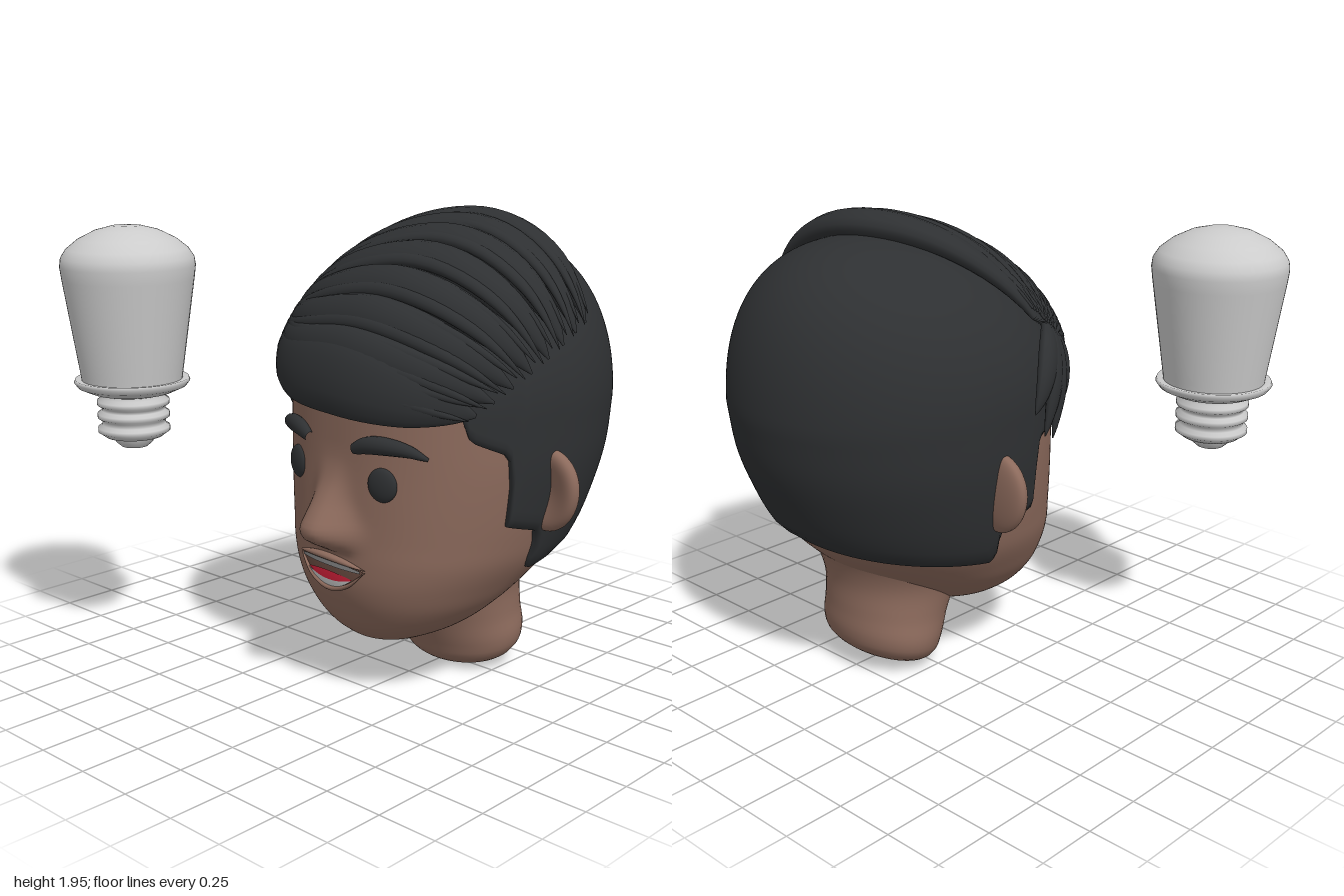
import * as THREE from 'three';

const HAIR = 0x2e3032, SKIN = 0x8c6a5c, GREY = 0xcccccc;
const V = (x, y, z) => new THREE.Vector3(x, y, z);

function part(name, geometry, color, double = false) {
  const material = new THREE.MeshStandardMaterial({ color });
  if (double) material.side = THREE.DoubleSide;
  const mesh = new THREE.Mesh(geometry, material);
  mesh.name = name;
  return mesh;
}

// surface through rows of points; at(i, j) gives a point, rows upward, columns to the right
function grid(rows, cols, at, closed = true) {
  const pos = [], idx = [], n = closed ? cols : cols + 1;
  for (let i = 0; i <= rows; i++) for (let j = 0; j < n; j++) pos.push(...at(i, j).toArray());
  for (let i = 0; i < rows; i++) for (let j = 0; j < cols; j++) {
    const a = i * n + j, b = i * n + (j + 1) % n;
    idx.push(a, b, b + n, a, b + n, a + n);
  }
  const g = new THREE.BufferGeometry();
  g.setAttribute('position', new THREE.Float32BufferAttribute(pos, 3));
  g.setIndex(idx);
  g.computeVertexNormals();
  return g;
}

// smooth interpolation of rows [y, ...values]
function smooth(rows) {
  const n = rows[0].length - 1;
  const f = new THREE.CubicInterpolant(rows.map(r => r[0]), rows.flatMap(r => r.slice(1)), n, new Float32Array(n));
  return y => f.evaluate(y);
}
// rows [y, halfWidth, front, back] -> [halfWidth, halfDepth, centre]
function profile(rows) {
  const f = smooth(rows);
  return y => {
    const [w, a, b] = f(y);
    return [Math.max(w, 0), Math.max((a - b) / 2, 0), (a + b) / 2];
  };
}

const jaw = profile([
  [0.212, 0, 0.35, 0.35], [0.218, 0.09, 0.44, 0.24], [0.23, 0.15, 0.505, 0.17], [0.255, 0.215, 0.55, 0.1],
  [0.3, 0.295, 0.595, 0], [0.4, 0.405, 0.65, -0.15], [0.5, 0.475, 0.68, -0.29], [0.6, 0.53, 0.685, -0.4],
  [0.7, 0.56, 0.68, -0.48], [0.85, 0.59, 0.675, -0.555], [1, 0.61, 0.67, -0.61], [1.2, 0.615, 0.67, -0.645]]);
const neckRows = profile([
  [0, 0, -0.06, -0.06], [0.008, 0.12, 0.03, -0.15], [0.03, 0.22, 0.09, -0.215], [0.07, 0.275, 0.135, -0.265],
  [0.13, 0.298, 0.16, -0.285], [0.25, 0.29, 0.21, -0.285], [0.4, 0.3, 0.28, -0.29], [0.55, 0.36, 0.3, -0.34],
  [0.7, 0.45, 0.3, -0.45]]);
// nose height and spread over the face
const noseRows = smooth([[0.6, 0, 0.1], [0.635, 0.006, 0.11], [0.66, 0.055, 0.115], [0.69, 0.108, 0.12], [0.735, 0.132, 0.118],
  [0.78, 0.11, 0.105], [0.85, 0.066, 0.085], [0.92, 0.028, 0.08], [1, 0.005, 0.08], [1.06, 0, 0.08]]);

// head cross-section at a height, grown outward by off
function section(y, off) {
  const [w, d, c] = jaw(Math.min(y, 1.2));
  const u = Math.max(0, (y - 1.2) / (0.63 + off));
  const s = Math.sqrt(Math.max(0, 1 - u ** 2.05));
  return [(w + off) * s, (d + off) * s, c - 0.15 * u * u];
}
const bulge = z => (z > 0 ? 2.3 : 2);
function headPoint(phi, y, off) {
  const [w, d, c] = section(y, off), s = Math.sin(phi), k = Math.cos(phi), e = 2 / bulge(k);
  return V(w * Math.sign(s) * Math.abs(s) ** e, y, c + d * Math.sign(k) * Math.abs(k) ** e);
}
function faceZ(x, y) {
  const [w, d, c] = section(y, 0);
  return c + d * Math.max(0, 1 - Math.abs(x / w) ** 2.3) ** (1 / 2.3);
}
// moves a point onto the hair cap along its ray from the middle of the head
function onCap(p, off) {
  const dir = V(p.x, p.y - 1.2, p.z).normalize();
  let lo = 0, hi = 1.2;
  for (let i = 0; i < 24; i++) {
    const r = (lo + hi) / 2, y = 1.2 + dir.y * r, [w, d, c] = section(y, 0.03), z = dir.z * r - c;
    const n = bulge(z);
    if (w > 0 && Math.abs(dir.x * r / w) ** n + Math.abs(z / d) ** n < 1) lo = r; else hi = r;
  }
  return dir.multiplyScalar(lo + off).add(V(0, 1.2, 0));
}

// skin of the face with the nose drawn out of it; columns crowd toward the front
const faceGeometry = () => grid(120, 128, (i, j) => {
  const a = (j / 128 - 0.5) * Math.PI * 2, y = 1.021 - 0.809 * Math.cos(Math.PI * i / 120);
  const p = headPoint(a - 0.6 * Math.sin(a), y, 0);
  if (y > 0.6 && y < 1.06 && p.z > 0) {
    const [height, spread] = noseRows(y);
    p.z += height * Math.exp(-((Math.abs(p.x) / spread) ** 2.6));
  }
  return p;
});

const neckGeometry = () => grid(40, 48, (i, j) => {
  const y = 0.35 * (1 - Math.cos(Math.PI * i / 40)), a = j / 48 * Math.PI * 2;
  const [w, d, c] = neckRows(y), z = c + d * Math.cos(a);
  return V(w * Math.sin(a), y + 0.2 * (1 - y / 0.7) * (0.04 - z), z);
});

// tapered oval sweep: place() positions a sample, up() gives its thickness direction
function sweep(points, place, up, width, thick, n = 28, m = 14) {
  const curve = new THREE.CatmullRomCurve3(points);
  const path = Array.from({ length: n + 1 }, (_, i) => place(curve.getPoint(i / n), i / n));
  return grid(n, m, (i, j) => {
    const t = path[Math.min(i + 1, n)].clone().sub(path[Math.max(i - 1, 0)]).normalize();
    const side = t.clone().cross(up(path[i])).normalize(), lift = side.clone().cross(t);
    const a = j / m * Math.PI * 2, u = i / n;
    return path[i].clone().addScaledVector(side, Math.sin(a) * width(u)).addScaledVector(lift, Math.cos(a) * thick(u));
  });
}
const taper = u => Math.max(0.02, Math.sin(Math.PI * Math.min(1, 0.04 + u * 0.96))) ** 0.75;
const lock = (pts, width, thick, off) => sweep(pts, (p, u) => onCap(p, off * (0.7 + Math.sin(Math.PI * u) * 0.3)),
  p => V(p.x, p.y - 1.2, p.z).normalize(), u => width * taper(u), u => thick * taper(u));
const onFace = off => p => V(p.x, p.y, faceZ(p.x, p.y) + off);

// strip lying on the face between two smile curves
const facePatch = (half, low, high, off) => grid(6, 24, (i, j) => {
  const u = j / 12 - 1, x = u * half, y = THREE.MathUtils.lerp(low(u), high(u), i / 6);
  return V(x, y, faceZ(x, y) + off);
}, false);

function earGeometry() {
  const g = new THREE.SphereGeometry(1, 40, 28), p = g.attributes.position;
  for (let i = 0; i < p.count; i++) {
    const x = p.getX(i), y = p.getY(i), z = p.getZ(i);
    // hollow the front, keep a thick rim and narrow the lobe
    const depth = z > 0 ? z * (0.2 + 1.3 * (x * x + y * y)) : -(Math.abs(z) ** 0.7);
    p.setXYZ(i, x * (0.155 + 0.015 * y), y * 0.168, depth * 0.046);
  }
  g.computeVertexNormals();
  return g;
}

function hairCap() {
  const edge = [[0, 1.32], [0.75, 1.3], [0.87, 1.25], [0.95, 1.13], [1.19, 1.07], [1.24, 1.02], [1.285, 0.78],
    [1.53, 0.74], [1.62, 0.6], [1.69, 0.565], [3.2, 0.68]];
  const rim = phi => {
    const k = edge.findIndex(e => e[0] > phi), [a, b] = [edge[k - 1], edge[k]];
    return THREE.MathUtils.mapLinear(phi, a[0], b[0], a[1], b[1]);
  };
  return grid(50, 160, (i, j) => {
    const phi = (j / 160 - 0.5) * Math.PI * 2, y0 = rim(Math.abs(phi));
    if (i === 0) return headPoint(phi, y0, -0.02);
    const y = y0 + (1.86 - y0) * Math.sin((i - 1) / 49 * Math.PI / 2);
    return headPoint(phi, y, i === 1 ? 0.02 : 0.03);
  });
}

function buildHead() {
  const head = new THREE.Group();
  head.name = 'head';
  head.position.set(0.255, 0, -0.27);
  head.rotation.y = -0.1;
  head.add(part('face', faceGeometry(), SKIN), part('neck', neckGeometry(), SKIN));

  // ears, eyes and brows, mirrored
  for (const s of [1, -1]) {
    const side = s > 0 ? 'left' : 'right';
    const ear = part(side + 'Ear', earGeometry(), SKIN);
    ear.position.set(s * 0.6, 0.9, 0.08);
    const eye = part(side + 'Eye', new THREE.SphereGeometry(1, 32, 20), HAIR);
    eye.scale.set(0.066, 0.068, 0.025);
    eye.position.set(s * 0.255, 0.943, faceZ(0.255, 0.943));
    eye.rotation.y = s * 0.25;
    const browPath = [[0.135, 1.072], [0.2, 1.095], [0.28, 1.1], [0.36, 1.088], [0.42, 1.06]].map(([x, y]) => V(s * x, y, 0));
    head.add(ear, eye, part(side + 'Brow', sweep(browPath, onFace(0.014), () => V(0, 0, 1),
      u => 0.04 * taper(0.1 + u * 0.86) * (1 - 0.25 * u), u => 0.032 * taper(0.1 + u * 0.86)), HAIR));
  }

  // open smiling mouth
  const bow = (edge, mid) => u => mid + (edge - mid) * u * u;
  head.add(part('mouthCavity', facePatch(0.185, bow(0.58, 0.488), bow(0.582, 0.6), 0.005), 0x6b4d42, true));
  head.add(part('upperTeeth', facePatch(0.175, bow(0.575, 0.575), bow(0.585, 0.6), 0.012), 0x8a8a8a, true));
  head.add(part('tongue', facePatch(0.13, bow(0.538, 0.505), bow(0.54, 0.552), 0.009), 0xd8213b, true));
  head.add(part('lowerTeeth', facePatch(0.13, bow(0.535, 0.487), bow(0.537, 0.515), 0.012), GREY, true));
  const lip = (name, edge, mid, r) => head.add(part(name, sweep(
    [-0.195, -0.1, 0, 0.1, 0.195].map(x => V(x, bow(edge, mid)(x / 0.195), 0)), onFace(0.008), () => V(0, 0, 1),
    u => r * taper(u), u => r * 1.4 * taper(u)), SKIN));
  lip('upperLip', 0.59, 0.61, 0.014);
  lip('lowerLip', 0.582, 0.478, 0.011);

  // hair: smooth cap, locks fanning from the parting over the crown, and a side tuft
  const hair = new THREE.Group();
  hair.name = 'hair';
  hair.add(part('hairCap', hairCap(), HAIR));
  const count = 8;
  for (let i = 0; i < count; i++) {
    const t = i / (count - 1), mix = (a, b) => a.clone().lerp(b, t);
    const pts = [mix(V(-0.43, 1.5, 0.32), V(-0.42, 1.43, 0.4)), mix(V(-0.22, 1.78, 0.12), V(-0.2, 1.35, 0.62)),
      mix(V(0.07, 1.9, -0.07), V(0.12, 1.35, 0.7)), mix(V(0.4, 1.75, -0.13), V(0.4, 1.3, 0.6)),
      mix(V(0.585, 1.53, -0.13), V(0.57, 1.24, 0.45))];
    const front = i === count - 1;
    hair.add(part('crownLock' + (i + 1), lock(pts, front ? 0.15 : 0.09, 0.06, 0.042), HAIR));
    // narrow ridges along each lock
    for (const [k, dy] of [0.035, -0.015].entries()) {
      const ridge = pts.map(p => p.clone().add(V(0, dy, 0.025 - dy)));
      hair.add(part(`lockRidge${i + 1}${'ab'[k]}`, lock(ridge, 0.032, 0.025, 0.07), HAIR));
    }
  }
  const tips = [[-0.62, 1.09, 0.3], [-0.6, 1.06, 0.37], [-0.55, 1.17, 0.46], [-0.62, 1.2, 0.22]];
  tips.forEach(([x, y, z], i) => hair.add(part('tuftLock' + (i + 1),
    lock([V(-0.36, 1.46, 0.42), V(-0.48, 1.36, z * 0.7 + 0.14), V(x, y, z)], 0.065, 0.035, 0.03), HAIR)));
  head.add(hair);
  return head;
}

function buildBulb() {
  const glass = [[0, 1.88], [0.06, 1.878], [0.13, 1.86], [0.2, 1.825], [0.25, 1.785], [0.272, 1.75], [0.277, 1.715],
    [0.27, 1.66], [0.212, 1.27], [0.208, 1.24]];
  const collar = [[0.2, 1.243], [0.235, 1.248], [0.24, 1.235], [0.225, 1.215], [0.17, 1.19], [0.13, 1.18]];
  const screw = [[0.13, 1.19]];
  for (const y of [1.145, 1.09, 1.03]) screw.push([0.132, y + 0.022], [0.15, y + 0.01], [0.15, y - 0.008], [0.132, y - 0.02]);
  screw.push([0.12, 1.0], [0.085, 0.998]);
  const tip = [[0.085, 1.0], [0.078, 0.975], [0.055, 0.955], [0.025, 0.949], [0, 0.948]];
  const bulb = new THREE.Group();
  bulb.name = 'bulb';
  for (const [name, pts] of Object.entries({ glass, collar, screw, tip })) {
    const line = pts.map(p => new THREE.Vector2(...p)).reverse();
    bulb.add(part(name, new THREE.LatheGeometry(line, 64), GREY, true));
  }
  bulb.position.set(-0.722, 0, 0.66);
  return bulb;
}

export function createModel() {
  const model = new THREE.Group();
  model.name = 'headAndBulb';
  model.add(buildHead(), buildBulb());
  return model;
}
